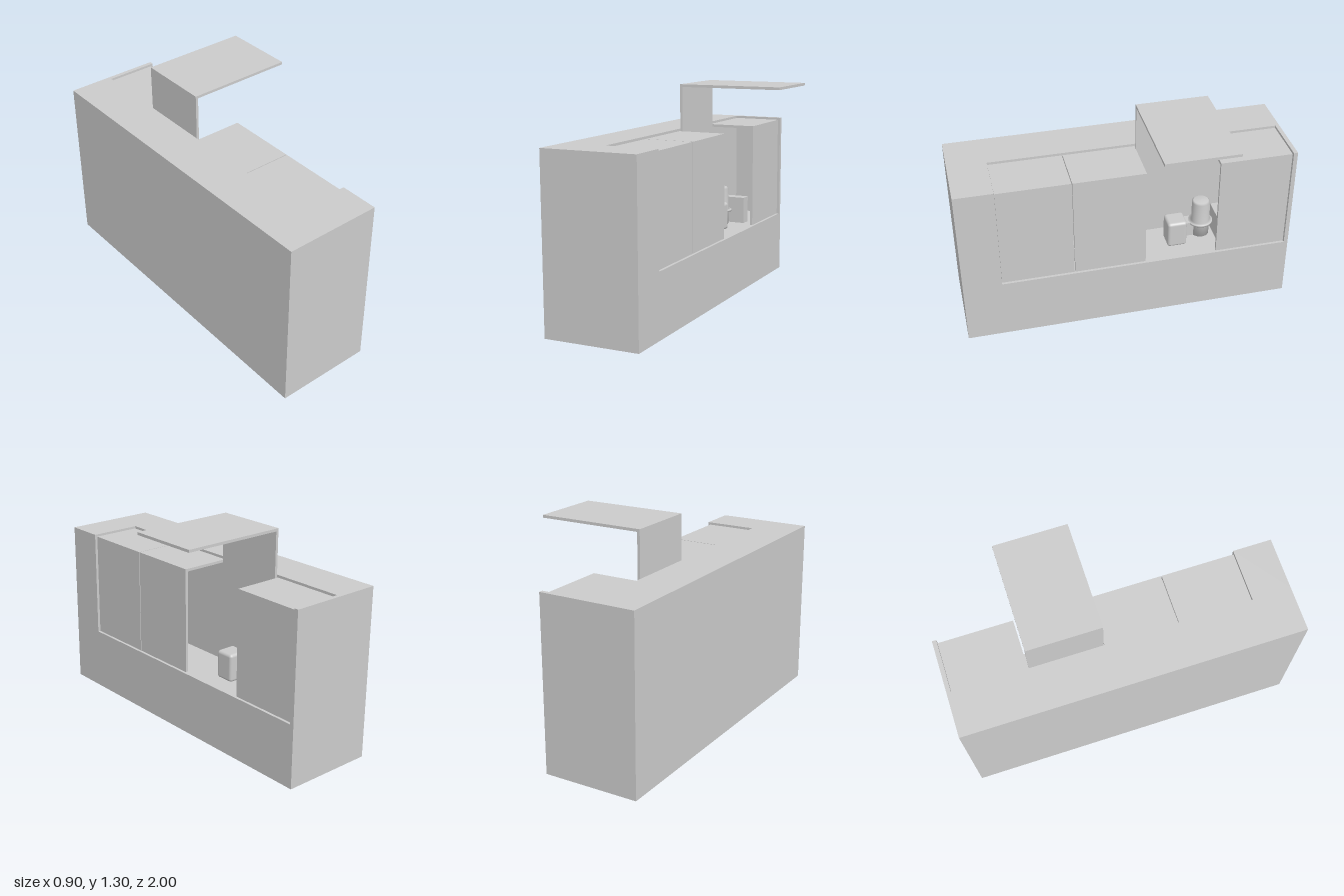
import * as THREE from 'three';
import { RoundedBoxGeometry } from 'three/addons/geometries/RoundedBoxGeometry.js';

const material = new THREE.MeshStandardMaterial({ color: 0xcccccc });

export function createModel() {
  const model = new THREE.Group();

  function add(name, geometry, parent = model) {
    const mesh = new THREE.Mesh(geometry, material);
    mesh.name = name;
    parent.add(mesh);
    return mesh;
  }

  // Box given by its limits on each axis
  function block(name, [x0, x1], [y0, y1], [z0, z1], radius = 0) {
    const size = [x1 - x0, y1 - y0, z1 - z0];
    const geometry = radius
      ? new RoundedBoxGeometry(...size, 3, radius)
      : new THREE.BoxGeometry(...size);
    add(name, geometry).position.set((x0 + x1) / 2, (y0 + y1) / 2, (z0 + z1) / 2);
  }

  // Cabinet body around a long recess, open at the top and the +x side
  const backX = -0.19, floorY = 0.38, topY = 1.03;
  block('base', [-0.45, 0.125], [0, floorY], [-1, 1]);
  block('rearBody', [-0.45, backX], [floorY, topY], [-1, 1]);
  block('frontBody', [backX, 0.125], [floorY, topY], [0.77, 1]);
  block('endWall', [backX, 0.125], [floorY, topY], [-1, -0.975]);

  // L-shaped cover: its outer corner is the origin, arms run to -x and -y
  const depth = 0.298, drop = 0.635, t = 0.016;
  function cover(name, length) {
    const shape = new THREE.Shape([
      [0, 0], [-depth, 0], [-depth, -t], [-t, -t], [-t, -drop], [0, -drop],
    ].map(([x, y]) => new THREE.Vector2(x, y)));
    return add(name, new THREE.ExtrudeGeometry(shape, { depth: length, bevelEnabled: false }));
  }

  // Three closed covers
  for (const [z0, z1] of [[0.335, 0.768], [-0.1, 0.33], [-0.974, -0.54]]) {
    cover('closedCover', z1 - z0).position.set(0.11, 1.016, z0);
  }

  // One cover swung open by a quarter turn
  const open = cover('openCover', 0.43);
  open.rotation.z = Math.PI / 2;
  open.position.set(-0.185, 1.298, -0.535);

  // Equipment on the recess floor
  block('roundedUnit', [-0.11, 0.013], [floorY, 0.55], [-0.385, -0.265], 0.018);
  block('lowUnit', [-0.15, -0.075], [floorY, 0.475], [-0.475, -0.38]);
  block('rearUnit', [-0.15, 0.034], [floorY, 0.545], [-0.645, -0.578]);

  // Upright tank with a slightly domed top and a collar
  const profile = [
    [0, 0], [0.055, 0], [0.055, 0.085], [0.075, 0.085], [0.075, 0.097],
    [0.055, 0.097], [0.055, 0.232], [0.045, 0.242], [0, 0.244],
  ].map(([r, y]) => new THREE.Vector2(r, y));
  const tankGeometry = new THREE.LatheGeometry(profile, 32);
  add('tank', tankGeometry).position.set(-0.1, floorY, -0.5);

  return model;
}
